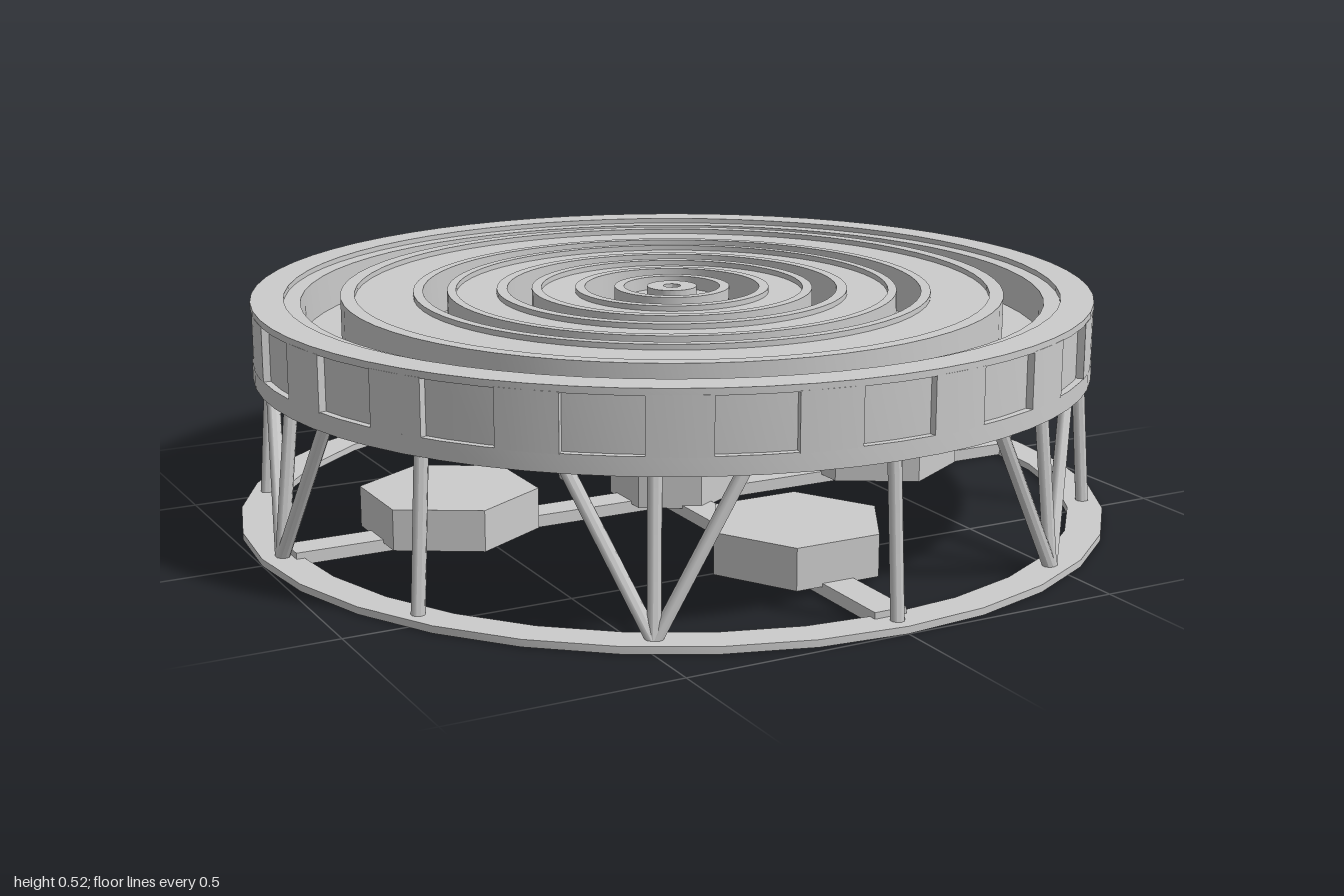
import * as THREE from 'three';
import { toCreasedNormals } from 'three/addons/utils/BufferGeometryUtils.js';

export function createModel() {
  const model = new THREE.Group();
  const mat = new THREE.MeshStandardMaterial({ color: 0xcccccc });
  const DEG = Math.PI / 180;

  const add = (name, geo, crease = 0.5) => {
    const mesh = new THREE.Mesh(toCreasedNormals(geo, crease), mat);
    mesh.name = name;
    model.add(mesh);
    return mesh;
  };
  const lathe = (pts, seg) => new THREE.LatheGeometry(pts.map(p => new THREE.Vector2(...p)), seg);
  // Point at an angle measured from +z towards +x
  const polar = (deg, r, y) => new THREE.Vector3(Math.sin(deg * DEG) * r, y, Math.cos(deg * DEG) * r);

  // Drum: closed bottom, grooved outer wall, raised ring basins separated by troughs
  const top = 0.52, ledge = 0.508, floor = 0.42, bottom = 0.345;
  const profile = [
    [0, bottom], [0.956, bottom], [0.956, 0.385], [0.94, 0.385], [0.94, 0.505], [0.956, 0.505],
    [0.956, top], [0.882, top], [0.882, ledge], [0.845, ledge],
  ];
  // Each basin: outer radius, inner side of outer rim, outer side of inner rim, inner radius
  for (const [a, b, c, d] of [[0.756, 0.724, 0.592, 0.57], [0.515, 0.495, 0.402, 0.378], [0.322, 0.3, 0.222, 0.2]]) {
    profile.push([a, floor], [a, top], [b, top], [b, ledge], [c, ledge], [c, top], [d, top]);
    profile.push([d, floor]);
  }
  profile.splice(10, 0, [0.845, floor]);
  // Central bowl and nozzle
  profile.push([0.132, floor], [0.132, top], [0.11, top], [0.11, 0.49], [0.057, 0.49],
    [0.057, top], [0.02, top], [0.02, 0.5], [0, 0.5]);
  add('drum', lathe(profile, 64));

  // Wall piers leave twenty recessed panels around the drum
  const pier = new THREE.Shape();
  const half = 4 * DEG;
  pier.absarc(0, 0, 0.956, -half, half, false);
  pier.absarc(0, 0, 0.93, half, -half, true);
  pier.closePath();
  const pierGeo = new THREE.ExtrudeGeometry(pier, { depth: 0.124, bevelEnabled: false, curveSegments: 2 });
  pierGeo.rotateX(-Math.PI / 2);
  for (let i = 0; i < 20; i++) {
    const m = add('wallPier', pierGeo);
    m.position.y = 0.383;
    m.rotation.y = (9 + i * 18) * DEG;
  }

  // Ground ring and crossed beams
  add('baseRing', lathe([[0.92, 0], [1, 0], [1, 0.016], [0.92, 0.016], [0.92, 0]], 32));
  for (const turn of [0, Math.PI / 2]) {
    const beam = add('crossBeam', new THREE.BoxGeometry(1.87, 0.028, 0.075));
    beam.position.y = 0.016;
    beam.rotation.y = turn;
  }

  // Legs: tripods every 60 degrees with a single post between them
  const strut = (name, a, b, r) => {
    const d = b.clone().sub(a);
    const m = add(name, new THREE.CylinderGeometry(r, r, d.length(), 10), 0.8);
    m.position.copy(a).add(b).multiplyScalar(0.5);
    m.quaternion.setFromUnitVectors(new THREE.Vector3(0, 1, 0), d.normalize());
  };
  for (let i = 0; i < 6; i++) {
    const v = 30 + i * 60, p = i * 60;
    for (const spread of [-11, 0, 11]) {
      strut('tripodLeg', polar(v, 0.955, 0.01), polar(v + spread, 0.92, 0.35), 0.015);
    }
    strut('post', polar(p, 0.96, 0.01), polar(p, 0.935, 0.35), 0.015);
  }

  // Hexagonal pump housings standing on the beams
  const housing = (name, x, z, r, turn) => {
    const m = add(name, new THREE.CylinderGeometry(r, r, 0.093, 6));
    m.position.set(x, 0.0695, z);
    m.rotation.y = turn;
  };
  housing('centralHousing', 0, 0, 0.145, 0);
  for (let i = 0; i < 4; i++) {
    const p = polar(i * 90, 0.563, 0);
    housing('pumpHousing', p.x, p.z, 0.2, i * 90 * DEG + Math.PI / 6);
  }

  // Pipes rise from the centre, run outwards and turn up into the drum
  const pipe = (deg, rStart, rEnd, y) => {
    const b = 0.02;
    const at = (r, h) => polar(deg, r, h);
    const path = new THREE.CurvePath();
    path.add(new THREE.LineCurve3(at(rStart, 0.1), at(rStart, y - b)));
    path.add(new THREE.QuadraticBezierCurve3(at(rStart, y - b), at(rStart, y), at(rStart + b, y)));
    path.add(new THREE.LineCurve3(at(rStart + b, y), at(rEnd - b, y)));
    path.add(new THREE.QuadraticBezierCurve3(at(rEnd - b, y), at(rEnd, y), at(rEnd, y + b)));
    path.add(new THREE.LineCurve3(at(rEnd, y + b), at(rEnd, 0.35)));
    add('pipe', new THREE.TubeGeometry(path, 60, 0.006, 6, false), 1);
  };
  for (let i = 0; i < 4; i++) {
    const a = 45 + i * 90;
    pipe(a, 0.1, 0.76, 0.27);
    pipe(a + 15, 0.08, 0.55, 0.285);
    pipe(a - 18, 0.08, 0.36, 0.305);
    pipe(a + 30, 0.06, 0.17, 0.32);
  }
  // Central riser feeding the nozzle
  strut('centralRiser', new THREE.Vector3(0, 0.1, 0), new THREE.Vector3(0, 0.35, 0), 0.01);

  return model;
}
